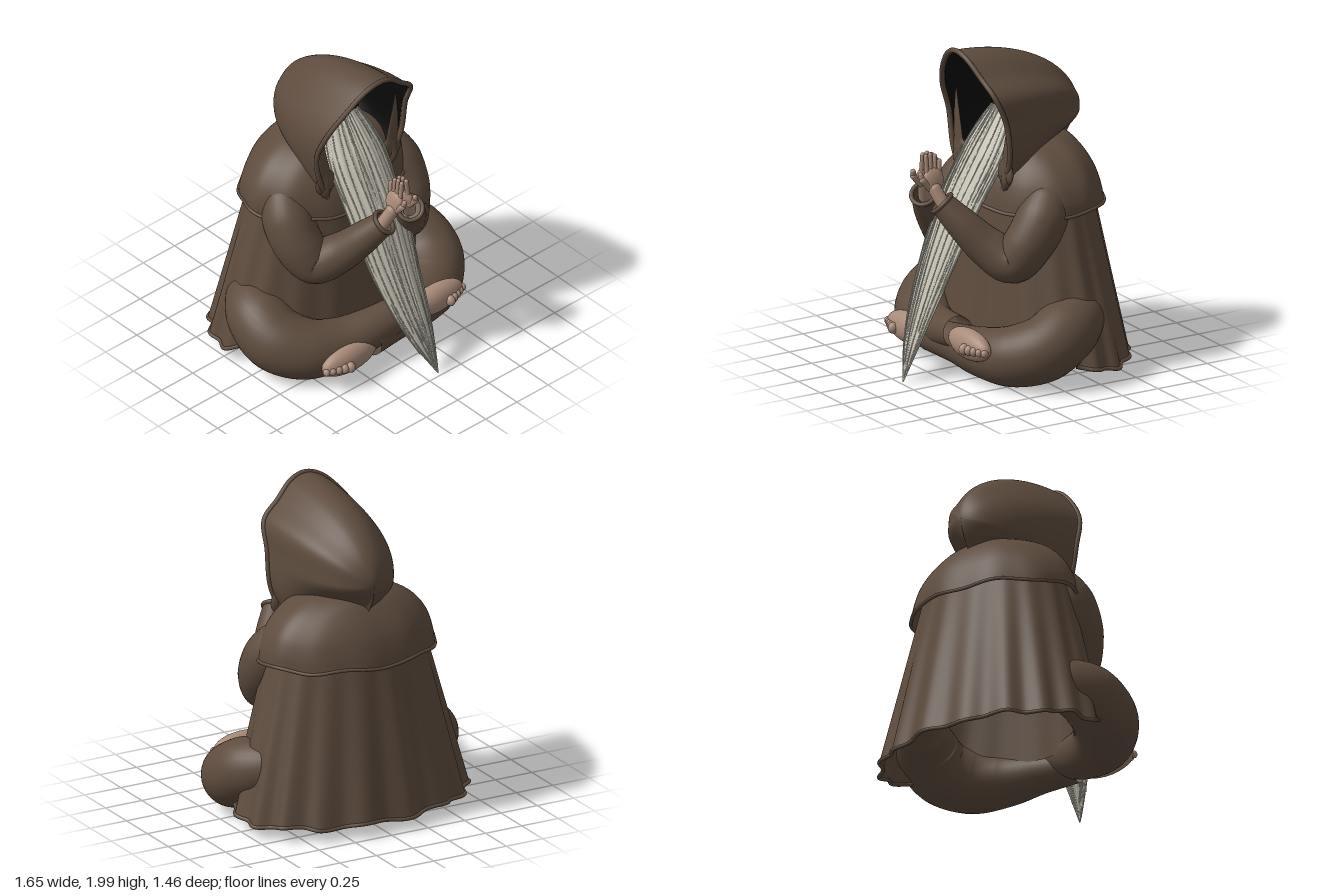
import * as THREE from 'three';
import { ParametricGeometry } from 'three/addons/geometries/ParametricGeometry.js';

const mat = (color) => new THREE.MeshStandardMaterial({ color, side: THREE.DoubleSide });
const cloth = mat(0x5e4c3e), skin = mat(0xa88a78), hair = mat(0xc6c2b4), dark = mat(0x0a0a0a);
const V = (x, y, z) => new THREE.Vector3(x, y, z);
const { lerp, smoothstep } = THREE.MathUtils;
const curveOf = (pts) => new THREE.CatmullRomCurve3(pts.map((p) => V(...p)));

function add(parent, name, geometry, material) {
  const mesh = new THREE.Mesh(geometry, material);
  mesh.name = name;
  parent.add(mesh);
  return mesh;
}

// Round sweep with varying radius; each point is [x, y, z, radius]
function sweep(pts, ref, sides = 28, steps = 44) {
  const path = curveOf(pts.map((p) => p.slice(0, 3)));
  const radius = curveOf(pts.map((p) => [p[3], 0, 0]));
  return new ParametricGeometry((u, v, out) => {
    const T = path.getTangent(v);
    const N = ref.clone().cross(T).normalize();
    const B = T.clone().cross(N);
    const r = radius.getPoint(v).x, a = u * Math.PI * 2;
    out.copy(path.getPoint(v)).addScaledVector(N, r * Math.cos(a)).addScaledVector(B, r * Math.sin(a));
  }, sides, steps);
}

// Capsule between two points
function finger(parent, name, a, b, r) {
  const d = b.clone().sub(a);
  const m = add(parent, name, new THREE.CapsuleGeometry(r, d.length(), 5, 10), skin);
  m.position.copy(a).add(b).multiplyScalar(0.5);
  m.quaternion.setFromUnitVectors(V(0, 1, 0), d.normalize());
}

function ball(parent, name, pos, scale, material) {
  const m = add(parent, name, new THREE.SphereGeometry(1, 28, 18), material);
  m.position.set(...pos);
  m.scale.set(...scale);
  return m;
}

// Hem cord along v = 0 of a surface, between two u values
function cord(parent, name, surface, r, u0 = 0, u1 = 1) {
  const pts = [];
  for (let i = 0; i <= 100; i++) pts.push(surface(u0 + (u1 - u0) * i / 100, 0, V(0, 0, 0)));
  add(parent, name, new THREE.TubeGeometry(new THREE.CatmullRomCurve3(pts), 200, r, 8), cloth);
}

// Pleated robe, hem raised over the legs in front
function robe(u, v, out) {
  const a = u * Math.PI * 2, c = Math.cos(a);
  const pleat = Math.sin(17 * a + Math.PI / 2 + Math.sin(3 * a) * 0.5) * (0.65 - 0.35 * c);
  const wave = 1 + 0.032 * (1 - v * 0.75) * pleat;
  const rx = lerp(0.755, 0.5, v) * wave;
  const rz = lerp(0.465, 0.34, v) * wave;
  const low = 0.09 + 0.12 * smoothstep(c, -0.1, 0.8) + 0.01 * Math.sin(9 * a);
  return out.set(Math.sin(a) * rx, lerp(low, 1.1, v), lerp(-0.25, -0.2, v) + c * rz);
}

// Shoulder cape; profile of [half width, y, half depth]
const capeSize = curveOf([[0.565, 1.03, 0.4], [0.555, 1.11, 0.385], [0.515, 1.21, 0.355], [0.42, 1.32, 0.29], [0.26, 1.405, 0.2], [0.02, 1.43, 0.02]]);
function cape(u, v, out) {
  const a = u * Math.PI * 2, s = capeSize.getPoint(v);
  const wave = 1 + 0.01 * (1 - v) * Math.sin(11 * a);
  return out.set(Math.sin(a) * s.x * wave, s.y + 0.01 * (1 - v) * Math.sin(7 * a + 1), -0.205 + Math.cos(a) * s.z * wave);
}

// Hood drawn back from the rim to a rounded pole, closing underneath towards the neck
const rim = curveOf([
  [-0.23, 1.12, 0.11], [-0.305, 1.27, 0.125], [-0.35, 1.5, 0.13], [-0.325, 1.68, 0.19], [-0.215, 1.85, 0.25],
  [-0.1, 1.955, 0.28], [0, 1.985, 0.29], [0.1, 1.955, 0.28], [0.21, 1.86, 0.25], [0.32, 1.76, 0.22],
  [0.337, 1.6, 0.155], [0.33, 1.37, 0.125], [0.23, 1.14, 0.11],
]);
const hood = (k, inset) => (u, v, out) => {
  const p = rim.getPoint(u), t = Math.min(Math.sin(v * Math.PI / 2), 0.99999), s = Math.sqrt(1 - t * t) * k;
  const tuck = 1 - smoothstep(Math.abs(u - 0.5), 0.36, 0.5) * smoothstep(v, 0.1, 0.55);
  return out.set(p.x * s * tuck, 1.52 + (p.y - 1.52) * s, p.z - inset + t * (-0.54 + 2 * inset - p.z));
};

// Beard: grooved flat section along a curved path
const beardPath = curveOf([[0, 1.64, -0.06], [0, 1.5, 0.02], [0, 1.3, 0.15], [0, 1.05, 0.302], [0, 0.8, 0.417], [0.015, 0.52, 0.535], [0.045, 0.26, 0.64], [0.09, 0.01, 0.725]]);
const beardSize = curveOf([[0.085, 0.03, 0], [0.165, 0.05, 0], [0.212, 0.055, 0], [0.205, 0.047, 0], [0.188, 0.04, 0], [0.146, 0.032, 0], [0.088, 0.022, 0], [0.004, 0.003, 0]]);
function beard(u, v, out) {
  const a = u * Math.PI * 2, p = beardPath.getPoint(v), s = beardSize.getPoint(v), x = Math.sin(a);
  const n = s.y * Math.cos(a) * (1 + 0.06 * Math.sin(34 * a + 3 * Math.sin(5 * a))) - 0.2 * s.x * x * x;
  return out.set(p.x + s.x * x, p.y + n * 0.4, p.z + n * 0.9);
}

export function createModel() {
  const model = new THREE.Group();
  model.name = 'seatedHoodedMonk';

  add(model, 'robe', new ParametricGeometry(robe, 200, 24), cloth);
  cord(model, 'robeHem', robe, 0.012, 0.2, 0.8);
  add(model, 'shoulderCape', new ParametricGeometry(cape, 96, 28), cloth);
  cord(model, 'capeHem', cape, 0.011);

  // Hood, lining and face shadow
  add(model, 'hood', new ParametricGeometry(hood(1, 0), 100, 40), cloth);
  add(model, 'hoodLining', new ParametricGeometry(hood(0.96, 0.012), 100, 40), dark);
  add(model, 'hoodRim', new THREE.TubeGeometry(rim, 120, 0.016, 10), cloth);
  ball(model, 'shadowedHead', [0, 1.58, -0.19], [0.21, 0.24, 0.2], dark);

  // Beard with loose strands
  add(model, 'beard', new ParametricGeometry(beard, 190, 48), hair);
  for (let i = 0; i < 16; i++) {
    const u = -0.25 + 0.5 * (i + 0.5 + 0.4 * Math.sin(i * 5.3)) / 16, pts = [];
    for (let j = 0; j <= 10; j++) {
      const q = beard(u, 0.01 + j * (0.09 + 0.008 * Math.sin(i * 2.7)), V(0, 0, 0));
      pts.push(q.add(V(0.005 * Math.sin(i * 3.1 + j), 0, 0)));
    }
    add(model, 'beardStrand', new THREE.TubeGeometry(new THREE.CatmullRomCurve3(pts), 24, 0.004, 5), hair);
  }

  for (const s of [1, -1]) {
    const side = s > 0 ? 'left' : 'right';

    // Sleeve bent at the elbow, with a rolled cuff
    const arm = [
      [0.35, 1.2, -0.17, 0.05], [0.4, 1.11, -0.1, 0.13], [0.432, 0.99, -0.03, 0.157], [0.425, 0.86, 0.05, 0.152],
      [0.365, 0.745, 0.13, 0.14], [0.27, 0.82, 0.24, 0.122], [0.18, 0.97, 0.37, 0.098], [0.105, 1.09, 0.46, 0.075],
    ].map(([x, y, z, r]) => [x * s, y, z, r]);
    add(model, side + 'Sleeve', sweep(arm, V(s, 0, 1)), cloth);
    const cuff = add(model, side + 'Cuff', new THREE.TorusGeometry(0.074, 0.014, 10, 36), cloth);
    cuff.position.set(0.105 * s, 1.09, 0.46);
    cuff.quaternion.setFromUnitVectors(V(0, 0, 1), V(-0.075 * s, 0.12, 0.09).normalize());

    // Praying hand
    const hand = new THREE.Group();
    hand.name = side + 'Hand';
    model.add(hand);
    finger(hand, 'wrist', V(0.11 * s, 1.07, 0.445), V(0.058 * s, 1.17, 0.482), 0.042);
    ball(hand, 'palm', [0.042 * s, 1.222, 0.482], [0.03, 0.078, 0.07], skin).rotation.z = 0.2 * s;
    [[0.425, 1.325], [0.458, 1.362], [0.49, 1.375], [0.52, 1.37]].forEach(([z, y], i) =>
      finger(hand, 'finger', V(0.034 * s, 1.235, 0.437 + i * 0.028), V(0.018 * s, y, z), 0.0145));
    finger(hand, 'thumb', V(0.047 * s, 1.18, 0.515), V(0.052 * s, 1.235, 0.563), 0.021);
    finger(hand, 'thumbTip', V(0.052 * s, 1.235, 0.563), V(0.042 * s, 1.268, 0.572), 0.016);

    // Folded leg; the right shin rests over the left one
    const up = s > 0 ? 0 : 1;
    const leg = [
      [0.46, 0.39, -0.34, 0.06], [0.53, 0.385, -0.25, 0.155], [0.615, 0.335, -0.09, 0.195], [0.615, 0.25, 0.06, 0.2],
      [0.5, 0.195, 0.2, 0.187], [0.31, 0.18 + up * 0.01, 0.285, 0.155], [0.08, 0.18 + up * 0.06, 0.33 + up * 0.02, 0.12],
      [-0.16, 0.18 + up * 0.1, 0.38, 0.098],
    ].map(([x, y, z, r]) => [x * s, y, z, r]);
    add(model, side + 'Leg', sweep(leg, V(0, 1, 0), 32, 60), cloth);

    // Foot emerging on the opposite side
    const foot = new THREE.Group();
    foot.name = side + 'Foot';
    foot.position.set(-0.345 * s, 0.175 + up * 0.09, 0.415);
    model.add(foot);
    ball(foot, 'sole', [0, 0, 0], [0.21, 0.094, 0.074], skin);
    for (let i = 0; i < 5; i++) {
      const r = 0.036 - i * 0.003;
      ball(foot, 'toe', [-s * (0.055 + i * 0.036), -0.005, 0.072 - i * 0.013], [r * 0.8, r, r], skin);
    }

    // Collar strip inside the hood and its hanging end
    const strip = add(model, side + 'CollarStrip', sweep([
      [0, 1.66, 0, 0.003], [0.01, 1.5, 0, 0.028], [0.03, 1.34, 0, 0.045], [0.05, 1.2, 0, 0.045], [0.06, 1.1, 0, 0.004],
    ], V(0, 0, 1), 16, 24), cloth);
    strip.position.set(-0.3 * s, 0, 0.11);
    strip.scale.set(s, 1, 0.3);
    const lapel = add(model, side + 'Lapel', sweep([
      [0.265, 1.32, 0.1, 0.03], [0.27, 1.22, 0.11, 0.034], [0.25, 1.14, 0.115, 0.004],
    ], V(0, 0, 1), 14, 16), cloth);
    lapel.scale.x = s;
  }
  return model;
}
